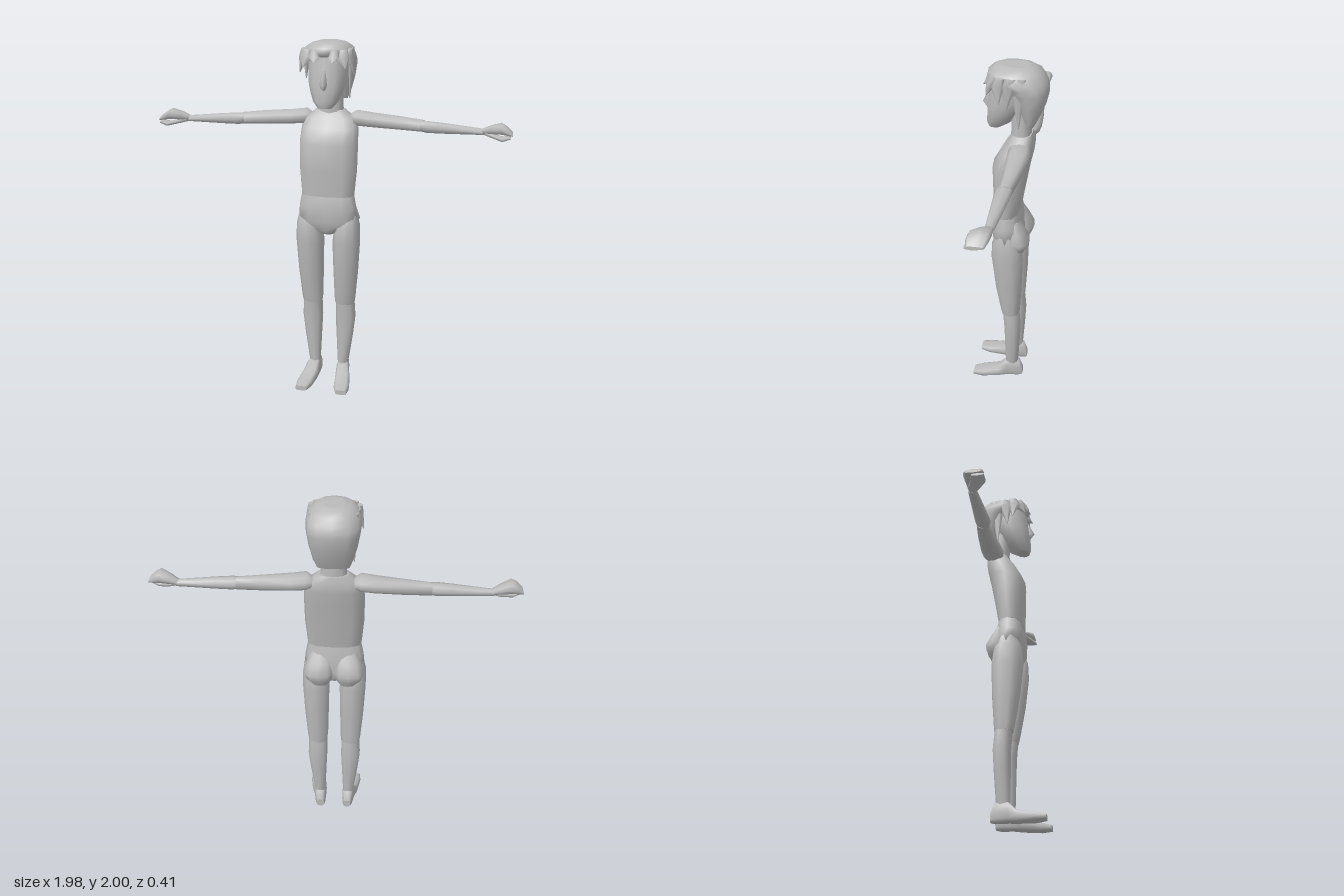
import * as THREE from 'three';

// Skin through oval rings along an axis. Section: [t, a0, a1, b0, b1], t ascending.
// Axis y: a = x, b = z. Axis x: a = z, b = y. Axis z: a = y, b = x.
function loft(axis, sections, sides = 10, power = 0.85) {
  const pos = [], index = [];
  const put = (t, a, b) => {
    if (axis === 'y') pos.push(a, t, b);
    else if (axis === 'x') pos.push(t, b, a);
    else pos.push(b, a, t);
  };
  const bend = (v) => Math.sign(v) * Math.pow(Math.abs(v), power);
  const ring = ([t, a0, a1, b0, b1]) => {
    for (let j = 0; j < sides; j++) {
      const q = (j / sides) * Math.PI * 2;
      put(t, (a0 + a1) / 2 + bend(Math.sin(q)) * (a1 - a0) / 2,
        (b0 + b1) / 2 + bend(Math.cos(q)) * (b1 - b0) / 2);
    }
  };
  sections.forEach(ring);
  for (let i = 0; i < sections.length - 1; i++) {
    for (let j = 0; j < sides; j++) {
      const k = (j + 1) % sides, p = i * sides, n = p + sides;
      index.push(p + j, p + k, n + k, p + j, n + k, n + j);
    }
  }
  // End caps get their own rings so their edges stay crisp
  [sections[0], sections[sections.length - 1]].forEach((s, end) => {
    const start = pos.length / 3;
    ring(s);
    put(s[0], (s[1] + s[2]) / 2, (s[3] + s[4]) / 2);
    for (let j = 0; j < sides; j++) {
      const k = (j + 1) % sides;
      if (end) index.push(start + j, start + k, start + sides);
      else index.push(start + k, start + j, start + sides);
    }
  });
  const g = new THREE.BufferGeometry();
  g.setAttribute('position', new THREE.Float32BufferAttribute(pos, 3));
  g.setIndex(index);
  g.computeVertexNormals();
  return g;
}

// Reflected copy across x = 0 with corner order restored
function mirrored(geometry) {
  const g = geometry.clone().scale(-1, 1, 1);
  const a = g.index.array;
  for (let i = 0; i < a.length; i += 3) [a[i], a[i + 1]] = [a[i + 1], a[i]];
  g.computeVertexNormals();
  return g;
}

export function createModel() {
  const model = new THREE.Group();
  const grey = new THREE.MeshStandardMaterial({ color: 0xbababa });
  grey.name = 'plain grey';

  const add = (name, geometry) => {
    const mesh = new THREE.Mesh(geometry, grey);
    mesh.name = name;
    model.add(mesh);
  };
  const pair = (name, geometry) => {
    add('left' + name, geometry);
    add('right' + name, mirrored(geometry));
  };
  // Symmetric section about x = 0
  const mid = (y, w, z0, z1) => [y, -w, w, z0, z1];

  // Trunk
  add('torso', loft('y', [
    mid(1.155, 0.15, -0.06, 0.08), mid(1.3, 0.163, -0.085, 0.085),
    mid(1.45, 0.165, -0.112, 0.09), mid(1.53, 0.16, -0.13, 0.045),
    mid(1.58, 0.14, -0.13, 0.01), mid(1.625, 0.08, -0.12, -0.01),
  ], 12, 0.75));
  add('neck', loft('y', [
    mid(1.57, 0.085, -0.12, 0), mid(1.64, 0.07, -0.115, -0.005), mid(1.8, 0.07, -0.11, 0.0),
  ]));
  add('pelvis', loft('y', [
    mid(0.93, 0.045, -0.05, 0.055), mid(0.955, 0.085, -0.07, 0.075),
    mid(1.005, 0.172, -0.085, 0.088), mid(1.09, 0.163, -0.075, 0.092),
    mid(1.165, 0.148, -0.06, 0.075),
  ], 12, 0.75));
  pair('Buttock', loft('y', [
    [0.92, 0.035, 0.12, -0.09, -0.03], [0.955, 0.01, 0.155, -0.11, 0],
    [1.0, 0.002, 0.17, -0.125, 0], [1.06, 0.01, 0.155, -0.095, 0],
    [1.12, 0.03, 0.13, -0.06, 0],
  ]));

  // Legs
  pair('Thigh', loft('y', [
    [0.495, 0.04, 0.152, -0.072, 0.032], [0.53, 0.036, 0.157, -0.075, 0.04],
    [0.7, 0.032, 0.172, -0.085, 0.07], [0.88, 0.028, 0.182, -0.09, 0.09],
    [0.98, 0.04, 0.18, -0.08, 0.085], [1.04, 0.08, 0.165, -0.05, 0.06],
  ]));
  pair('Calf', loft('y', [
    [0.1, 0.055, 0.115, -0.062, 0.012], [0.13, 0.053, 0.12, -0.064, 0.014],
    [0.28, 0.046, 0.142, -0.074, 0.017], [0.4, 0.04, 0.156, -0.08, 0.02],
    [0.52, 0.042, 0.15, -0.07, 0.03],
  ]));
  pair('Foot', loft('z', [
    [-0.09, 0.012, 0.06, 0.06, 0.103], [-0.068, 0.005, 0.115, 0.052, 0.115],
    [0.005, 0.005, 0.115, 0.05, 0.128], [0.05, 0.003, 0.07, 0.053, 0.142],
    [0.15, 0, 0.048, 0.066, 0.157], [0.205, 0.006, 0.035, 0.085, 0.152],
  ], 12, 0.6));

  // Arms
  pair('UpperArm', loft('x', [
    [0.11, -0.115, -0.035, 1.55, 1.6], [0.145, -0.135, -0.015, 1.535, 1.622],
    [0.22, -0.136, -0.018, 1.53, 1.612], [0.38, -0.122, -0.032, 1.522, 1.598],
    [0.515, -0.104, -0.038, 1.517, 1.583],
  ]));
  pair('Forearm', loft('x', [
    [0.5, -0.1, -0.03, 1.52, 1.578], [0.535, -0.106, -0.02, 1.514, 1.58],
    [0.62, -0.1, -0.025, 1.514, 1.574], [0.84, -0.083, -0.037, 1.518, 1.552],
  ], 8));
  pair('Hand', loft('x', [
    [0.825, -0.08, -0.04, 1.525, 1.55], [0.87, -0.085, -0.015, 1.528, 1.573],
    [0.93, -0.09, 0.018, 1.532, 1.592], [0.965, -0.082, 0.022, 1.53, 1.57],
    [0.992, -0.07, 0.015, 1.528, 1.542],
  ], 8, 0.7));
  pair('Fingers', loft('x', [
    [0.835, -0.075, -0.04, 1.52, 1.54], [0.88, -0.075, -0.005, 1.51, 1.535],
    [0.94, -0.055, 0.034, 1.498, 1.523], [0.982, -0.04, 0.03, 1.515, 1.53],
  ], 6));

  // Head and face
  add('head', loft('y', [
    mid(1.655, 0.04, 0.045, 0.115), mid(1.69, 0.07, -0.01, 0.126),
    mid(1.74, 0.09, -0.05, 0.122), mid(1.79, 0.104, -0.09, 0.12),
    mid(1.86, 0.11, -0.13, 0.108), mid(1.95, 0.105, -0.13, 0.095),
  ], 12));
  add('nose', loft('y', [
    mid(1.745, 0.012, 0.08, 0.118), mid(1.785, 0.022, 0.08, 0.147),
    mid(1.865, 0.008, 0.08, 0.108),
  ], 6));

  // Hair: one shell over the skull with pointed locks along the fringe
  add('hairCap', loft('y', [
    mid(1.68, 0.085, -0.135, -0.085), mid(1.73, 0.105, -0.16, -0.07),
    mid(1.8, 0.125, -0.188, -0.035), mid(1.87, 0.138, -0.205, 0.0),
    mid(1.905, 0.143, -0.2, 0.045), mid(1.93, 0.142, -0.19, 0.118),
    mid(1.97, 0.125, -0.165, 0.115), mid(1.992, 0.09, -0.13, 0.08),
    mid(2.0, 0.055, -0.1, 0.04),
  ], 12));
  // Lock: tip x, y, z then root x, z, half width, half depth
  const locks = [
    [0.106, 1.69, -0.06, 0.115, -0.06, 0.016, 0.04],
    [0.122, 1.8, 0.0, 0.122, -0.01, 0.018, 0.04],
    [0.148, 1.835, 0.035, 0.125, 0.045, 0.022, 0.035],
    [0.115, 1.87, 0.105, 0.095, 0.08, 0.04, 0.028],
    [0.05, 1.9, 0.13, 0.05, 0.1, 0.035, 0.02],
  ];
  for (const [x, y, z, rx, rz, w, d] of locks) {
    pair('HairLock', loft('y', [
      [y, x - 0.003, x + 0.003, z - 0.003, z + 0.003],
      [1.925, rx - w, rx + w, rz - d, rz + d],
      [1.965, rx - w * 0.6, rx + w * 0.6, rz - d, rz + d * 0.4],
    ], 6));
  }
  return model;
}
